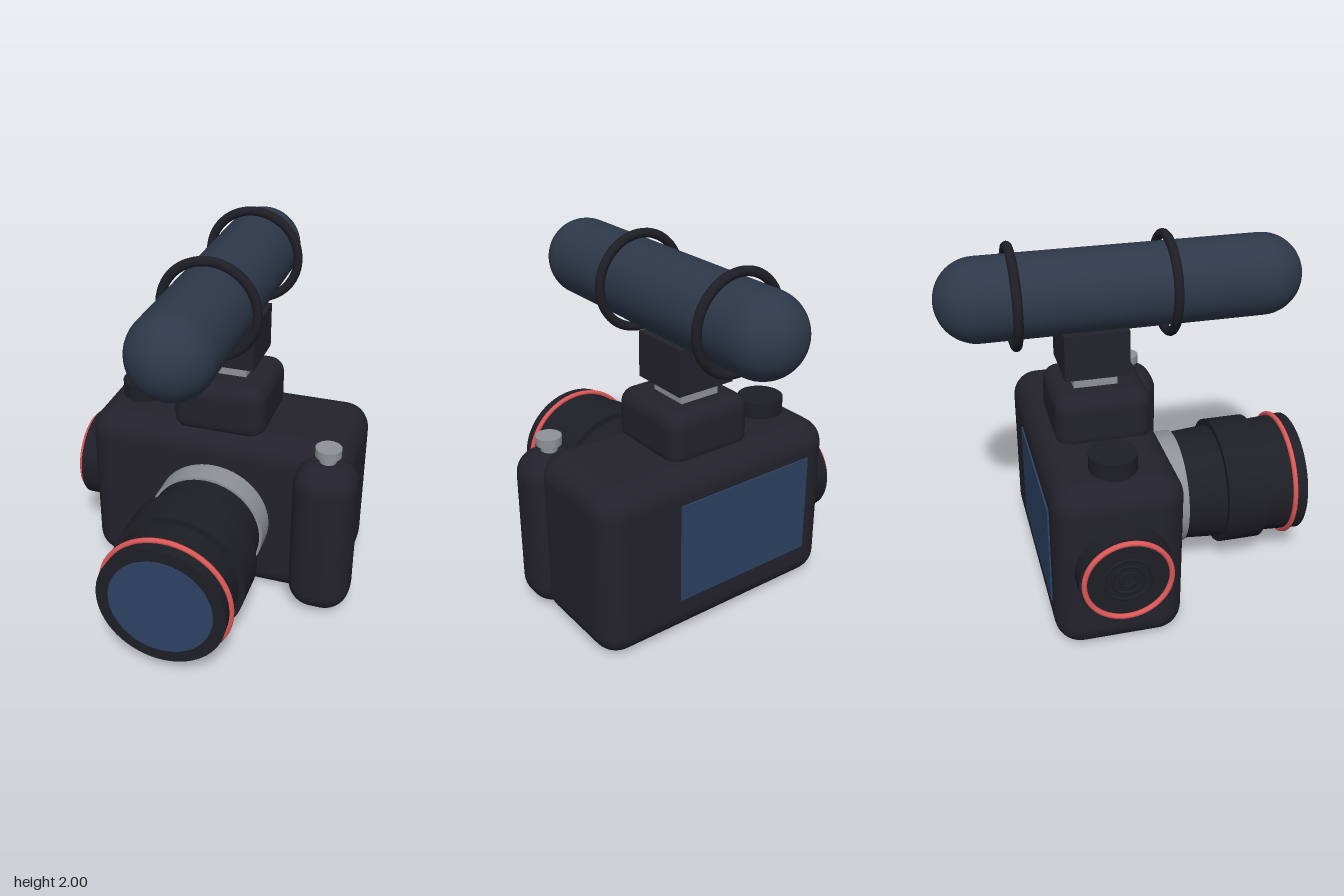
import * as THREE from 'three';
import { RoundedBoxGeometry } from 'three/addons/geometries/RoundedBoxGeometry.js';

const material = (name, color) => {
  const m = new THREE.MeshStandardMaterial({ color });
  m.name = name;
  return m;
};

export function createModel() {
  const camera = new THREE.Group();
  camera.name = 'camera';

  const body = material('charcoal body', 0x23222c);
  const rubber = material('dark rubber', 0x1e1e26);
  const silver = material('silver metal', 0x8e9297);
  const red = material('red accent', 0xdc5757);
  const glass = material('blue glass', 0x2c4262);
  const foam = material('navy foam', 0x2e384a);

  const CX = 0.028; // centre line of the body, lens and microphone

  const add = (name, geometry, mat, x, y, z) => {
    const mesh = new THREE.Mesh(geometry, mat);
    mesh.name = name;
    mesh.position.set(x, y, z);
    camera.add(mesh);
    return mesh;
  };
  const rounded = (w, h, d, r) => new RoundedBoxGeometry(w, h, d, 6, r);
  const disc = (r, h) => new THREE.CylinderGeometry(r, r, h, 48);
  const ring = (r, tube) => new THREE.TorusGeometry(r, tube, 12, 64);

  // Body, hand grip and viewfinder hump
  add('body', rounded(1.485, 0.97, 0.682, 0.14), body, CX, 0.49, -0.194);
  add('grip', rounded(0.34, 0.91, 0.32, 0.14), body, 0.658, 0.485, 0.163);
  add('viewfinderHump', rounded(0.513, 0.31, 0.513, 0.085), body, CX, 1.075, -0.167);

  // Lens: sections along z, each [name, material, back z, front z, back radius, front radius]
  const LY = 0.461;
  const sections = [
    ['lensMount', silver, 0.1, 0.285, 0.322, 0.322],
    ['rearBarrel', rubber, 0.285, 0.505, 0.308, 0.325],
    ['zoomRing', rubber, 0.505, 0.73, 0.36, 0.36],
    ['frontBarrel', rubber, 0.73, 0.975, 0.326, 0.342],
  ];
  for (const [name, mat, z0, z1, r0, r1] of sections) {
    const g = new THREE.CylinderGeometry(r1, r0, z1 - z0, 64).rotateX(Math.PI / 2);
    add(name, g, mat, CX, LY, (z0 + z1) / 2);
  }
  add('lensRing', ring(0.345, 0.014), red, CX, LY, 0.9);
  add('lensGlass', disc(0.275, 0.008).rotateX(Math.PI / 2), glass, CX, LY, 0.976);

  // Rear screen
  add('screen', new THREE.BoxGeometry(0.856, 0.57, 0.009), glass, -0.112, 0.518, -0.5395);

  // Top controls
  add('modeDial', disc(0.125, 0.11), rubber, -0.489, 1.01, -0.193);
  add('shutterButton', disc(0.069, 0.047), silver, 0.659, 0.9985, 0.157);
  add('shutterStem', disc(0.045, 0.06), silver, 0.659, 0.955, 0.157);

  // Round side port with a red rim and fine concentric ridges
  const PY = 0.517, PZ = -0.194;
  add('sidePort', disc(0.25, 0.14).rotateZ(Math.PI / 2), rubber, -0.742, PY, PZ);
  add('sidePortRim', ring(0.224, 0.014).rotateY(Math.PI / 2), red, -0.82, PY, PZ);
  for (const r of [0.04, 0.08, 0.12]) {
    add('sidePortRidge', ring(r, 0.008).rotateY(Math.PI / 2), rubber, -0.812, PY, PZ);
  }

  // Accessory shoe and microphone bracket
  add('shoePost', new THREE.BoxGeometry(0.233, 0.1, 0.233), silver, CX, 1.26, -0.19);
  add('microphoneBracket', new THREE.BoxGeometry(0.343, 0.25, 0.343), body, CX, 1.425, -0.188);

  // Microphone with two suspension rings
  const MY = 1.723;
  add('microphone', new THREE.CapsuleGeometry(0.217, 1.491, 16, 48).rotateX(Math.PI / 2), foam, CX, MY, -0.015);
  for (const z of [0.212, -0.59]) {
    add('suspensionRing', ring(0.252, 0.025), rubber, CX, MY, z);
  }

  return camera;
}
